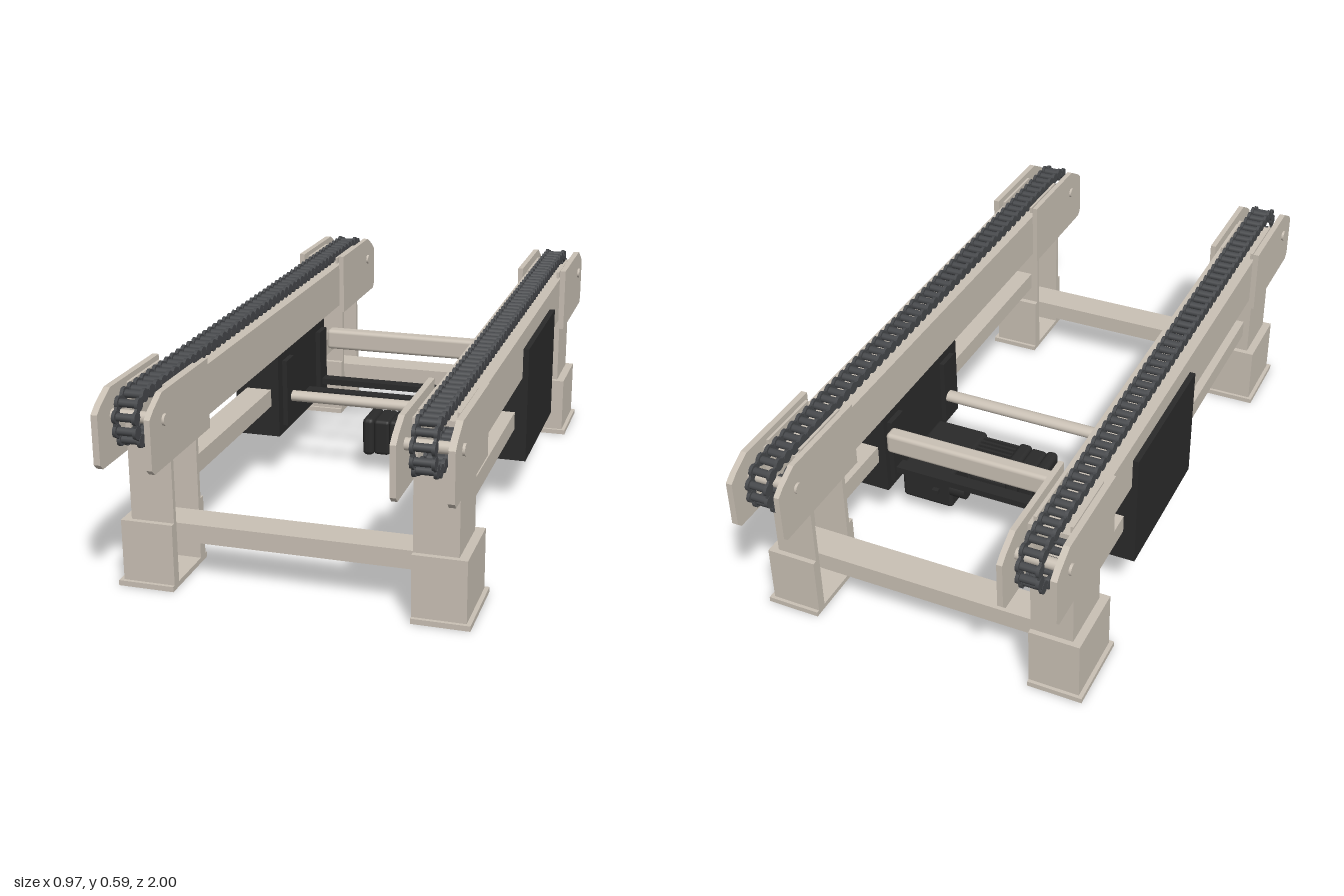
import * as THREE from 'three';
import { mergeGeometries } from 'three/addons/utils/BufferGeometryUtils.js';
import { RoundedBoxGeometry } from 'three/addons/geometries/RoundedBoxGeometry.js';

const mat = (name, color) => {
  const m = new THREE.MeshStandardMaterial({ color });
  m.name = name;
  return m;
};

export function createModel() {
  const root = new THREE.Group();
  root.name = 'chainConveyor';
  const paint = mat('beige paint', 0xc9c0b4);
  const black = mat('black casing', 0x2a2a2a);
  const steel = mat('dark chain steel', 0x46484b);

  const add = (name, geo, material, parent = root) => {
    const m = new THREE.Mesh(geo, material);
    m.name = name;
    parent.add(m);
    return m;
  };
  // box from its limits on each axis
  const boxGeo = (x0, x1, y0, y1, z0, z1) =>
    new THREE.BoxGeometry(Math.abs(x1 - x0), y1 - y0, Math.abs(z1 - z0))
      .translate((x0 + x1) / 2, (y0 + y1) / 2, (z0 + z1) / 2);
  // cylinder lying along x
  const rodGeo = (r, x0, x1, y, z, seg = 20) =>
    new THREE.CylinderGeometry(r, r, Math.abs(x1 - x0), seg)
      .rotateZ(Math.PI / 2).translate((x0 + x1) / 2, y, z);

  // Endless roller chain: straight runs joined by half circles
  const pinCount = 106, R = 0.062, axleZ = 0.915, axleY = 0.51;
  const run = 2 * axleZ, arc = Math.PI * R, total = 2 * (run + arc);
  const chainPoint = (d) => {
    d = ((d % total) + total) % total;
    if (d < run) return [axleY + R, -axleZ + d];
    d -= run;
    if (d < arc) return [axleY + R * Math.cos(d / R), axleZ + R * Math.sin(d / R)];
    d -= arc;
    if (d < run) return [axleY - R, axleZ - d];
    d -= run;
    return [axleY - R * Math.cos(d / R), -axleZ - R * Math.sin(d / R)];
  };
  const chainGeo = (cx) => {
    const parts = [];
    for (let i = 0; i < pinCount; i++) {
      const [y, z] = chainPoint(i * total / pinCount);
      const [y2, z2] = chainPoint((i + 1) * total / pinCount);
      parts.push(rodGeo(0.011, cx - 0.026, cx + 0.026, y, z, 10));
      const len = Math.hypot(y2 - y, z2 - z);
      for (const k of [-1, 1]) {
        parts.push(rodGeo(0.018, cx + k * 0.023, cx + k * 0.032, y, z, 12));
        parts.push(new THREE.BoxGeometry(0.007, 0.02, len)
          .rotateX(-Math.atan2(y2 - y, z2 - z))
          .translate(cx + k * 0.0275, (y + y2) / 2, (z + z2) / 2));
      }
    }
    return mergeGeometries(parts);
  };

  // End plate with a chamfered outer corner, e is the end of the rail (+1 or -1)
  const endPlateGeo = (x, t, e) => {
    const pts = [[0.62, 0.385], [0.985, 0.385], [1, 0.4], [1, 0.535], [0.975, 0.555],
      [0.92, 0.585], [0.62, 0.585]].map(([z, y]) => new THREE.Vector2(z * e, y));
    return new THREE.ExtrudeGeometry(new THREE.Shape(pts), { depth: t, bevelEnabled: false })
      .translate(0, 0, -t / 2).rotateY(-Math.PI / 2).translate(x, 0, 0);
  };

  // Hollow rectangular rail
  const railGeo = (cx) => {
    const rect = (C, w, y0, y1) => new C([[-w, y0], [w, y0], [w, y1], [-w, y1]]
      .map(([x, y]) => new THREE.Vector2(x, y)));
    const s = rect(THREE.Shape, 0.0625, 0.41, 0.555);
    s.holes.push(rect(THREE.Path, 0.0475, 0.425, 0.54));
    return new THREE.ExtrudeGeometry(s, { depth: 1.7, bevelEnabled: false })
      .translate(cx, 0, -0.85);
  };

  for (const s of [1, -1]) {
    const side = new THREE.Group();
    side.name = s > 0 ? 'leftSide' : 'rightSide';
    root.add(side);
    const box = (name, m, x0, x1, ...r) => add(name, boxGeo(s * x0, s * x1, ...r), m, side);

    add('rail', railGeo(s * 0.3875), paint, side);
    add('chain', chainGeo(s * 0.386), steel, side);
    box('sideBar', paint, 0.35, 0.43, 0.245, 0.3, -0.67, 0.67);

    for (const e of [1, -1]) {
      add('outerEndPlate', endPlateGeo(s * 0.461, 0.018, e), paint, side);
      add('innerEndPlate', endPlateGeo(s * 0.317, 0.016, e), paint, side);
      add('axle', rodGeo(0.016, s * 0.302, s * 0.477, axleY, e * axleZ), paint, side);
      for (const x of [0.337, 0.437])
        box('chainGuide', paint, x, x + 0.008, 0.55, 0.575, e * 0.64, e * 0.84);

      // leg channel, open toward the middle
      box('legOuterWall', paint, 0.435, 0.45, 0.015, 0.41, e * 0.663, e * 0.845);
      box('legInnerFlange', paint, 0.328, 0.45, 0.015, 0.41, e * 0.663, e * 0.678);
      box('legEndFlange', paint, 0.328, 0.45, 0.015, 0.41, e * 0.83, e * 0.845);
      // foot sleeve and base plate
      box('footOuterWall', paint, 0.45, 0.475, 0.015, 0.19, e * 0.645, e * 0.86);
      box('footInnerFlange', paint, 0.328, 0.475, 0.015, 0.19, e * 0.645, e * 0.663);
      box('footEndFlange', paint, 0.328, 0.475, 0.015, 0.19, e * 0.845, e * 0.86);
      box('basePlate', paint, 0.328, 0.487, 0, 0.015, e * 0.635, e * 0.87);
    }

    // drive casing below the rail, with a tall cover outside
    box('driveCasing', black, 0.325, 0.455, 0.145, 0.41, -0.44, 0.025);
    box('driveCover', black, 0.45, 0.467, 0.145, 0.5, -0.44, 0.025);
    for (const z of [-0.42, -0.085])
      box('casingFlange', black, 0.31, 0.325, 0.17, 0.385, z, z + 0.07);
  }

  // Cross members
  for (const e of [1, -1])
    add('crossBeam', boxGeo(-0.435, 0.435, 0.117, 0.17, e * 0.697, e * 0.795), paint);
  add('largeCrossTube', new RoundedBoxGeometry(0.616, 0.067, 0.047, 4, 0.012)
    .translate(0, 0.343, -0.44), paint);
  add('smallCrossTube', rodGeo(1, -0.308, 0.308, 0, 0, 28)
    .scale(1, 0.017, 0.021).translate(0, 0.256, -0.063), paint);
  for (const z of [-0.39, -0.26])
    add('driveShaft', boxGeo(-0.325, 0.325, 0.197, 0.217, z - 0.02, z + 0.02), black);

  // Motor and gearbox
  const motor = new THREE.Group();
  motor.name = 'motor';
  root.add(motor);
  const block = (name, x0, x1, h, z0, z1, r = 0.012) =>
    add(name, new RoundedBoxGeometry(x1 - x0, h, z1 - z0, 2, r)
      .translate((x0 + x1) / 2, 0.121, (z0 + z1) / 2), black, motor);
  block('motorEndCap', -0.09, -0.052, 0.126, -0.235, -0.105, 0.015);
  block('motorRing', -0.054, 0, 0.118, -0.23, -0.11);
  block('motorFrontBell', -0.002, 0.04, 0.126, -0.235, -0.105);
  block('motorBody', 0.035, 0.16, 0.1, -0.22, -0.12);
  for (let i = 0; i < 6; i++) {
    const o = i * 0.018;
    for (const y of [0.064, 0.17])
      add('coolingFin', boxGeo(0.04, 0.156, y, y + 0.01, -0.219 + o, -0.211 + o), black, motor);
    for (const z of [-0.226, -0.122])
      add('coolingFin', boxGeo(0.04, 0.156, 0.072 + o, 0.08 + o, z, z + 0.008), black, motor);
  }
  block('gearbox', 0.155, 0.328, 0.126, -0.24, -0.1);
  block('gearHead', 0.16, 0.328, 0.122, -0.35, -0.23);
  add('gearHeadBoss', rodGeo(0.028, 0.115, 0.165, 0.13, -0.328), black, motor);
  add('gearHeadPlug', boxGeo(0.2, 0.22, 0.112, 0.126, -0.365, -0.345), black, motor);

  return root;
}
